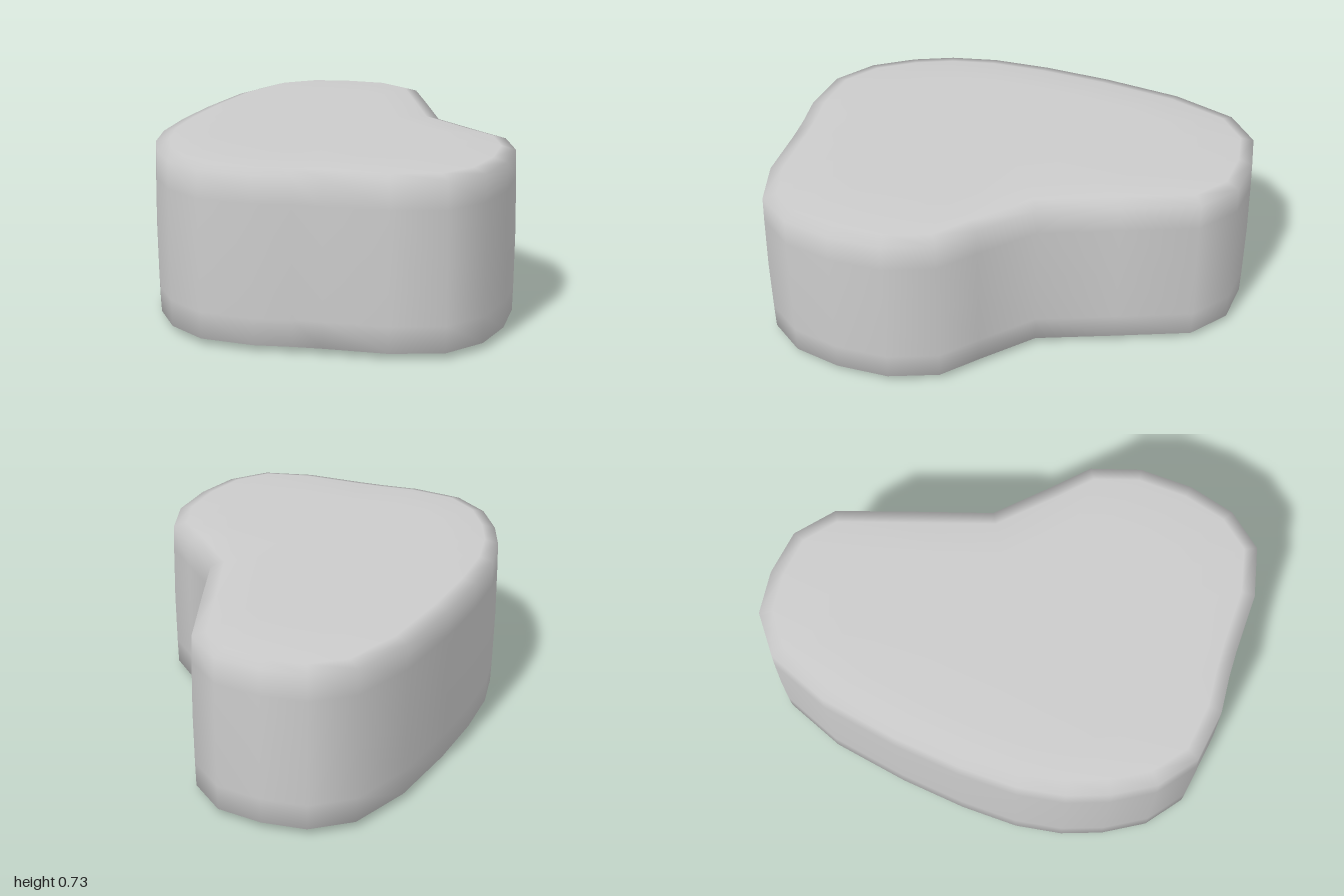
import * as THREE from 'three';

// Plan outline as [x, z], clockwise seen from above, starting at the back
const OUTLINE = [
  [-0.23, -1], [-0.03, -0.975], [0.13, -0.845], [0.24, -0.53], [0.35, -0.205],
  [0.55, -0.01], [0.69, 0.12], [0.76, 0.33], [0.755, 0.56], [0.7, 0.765],
  [0.575, 0.915], [0.36, 0.97], [0.1, 0.97], [-0.02, 0.975], [-0.175, 0.99],
  [-0.4, 0.96], [-0.56, 0.84], [-0.665, 0.67], [-0.73, 0.5], [-0.765, 0.3],
  [-0.765, 0.05], [-0.74, -0.24], [-0.685, -0.58], [-0.58, -0.85], [-0.42, -0.975],
].map(([x, z]) => new THREE.Vector2(x, z));
const CENTRE = new THREE.Vector2(-0.15, 0.1);

// Rings from bottom to top: [height, inset from the outline, pull to the centre]
const RINGS = [
  [0.006, 0.08, 0.25], [0.013, 0.065, 0], [0.03, 0.006, 0], [0.14, 0.003, 0], [0.37, 0, 0],
  [0.6, 0.003, 0], [0.712, 0.006, 0], [0.729, 0.065, 0], [0.735, 0.08, 0.25],
];

function ringPoints([y, inset, pull]) {
  const n = OUTLINE.length;
  return OUTLINE.flatMap((p, i) => {
    const t = OUTLINE[(i + 1) % n].clone().sub(OUTLINE[(i + n - 1) % n]).normalize();
    const q = new THREE.Vector2(p.x - t.y * inset, p.y + t.x * inset).lerp(CENTRE, pull);
    return [q.x, y, q.y];
  });
}

function roundedSlab() {
  const n = OUTLINE.length;
  const positions = RINGS.flatMap(ringPoints);
  const bottom = RINGS.length * n;
  const top = bottom + 1;
  positions.push(CENTRE.x, 0.004, CENTRE.y, CENTRE.x, 0.736, CENTRE.y);

  const index = [];
  const last = (RINGS.length - 1) * n;
  for (let i = 0; i < n; i++) {
    const j = (i + 1) % n;
    index.push(bottom, i, j, last + i, top, last + j);
    for (let r = 0; r < last; r += n) {
      index.push(r + i, r + n + i, r + n + j, r + i, r + n + j, r + j);
    }
  }
  const geometry = new THREE.BufferGeometry();
  geometry.setAttribute('position', new THREE.Float32BufferAttribute(positions, 3));
  geometry.setIndex(index);
  geometry.computeVertexNormals();
  return geometry;
}

export function createModel() {
  const group = new THREE.Group();
  group.name = 'kidneyShapedPouf';
  const cushion = new THREE.Mesh(
    roundedSlab(),
    new THREE.MeshStandardMaterial({ color: 0xcccccc }),
  );
  cushion.name = 'cushion';
  group.add(cushion);
  return group;
}
